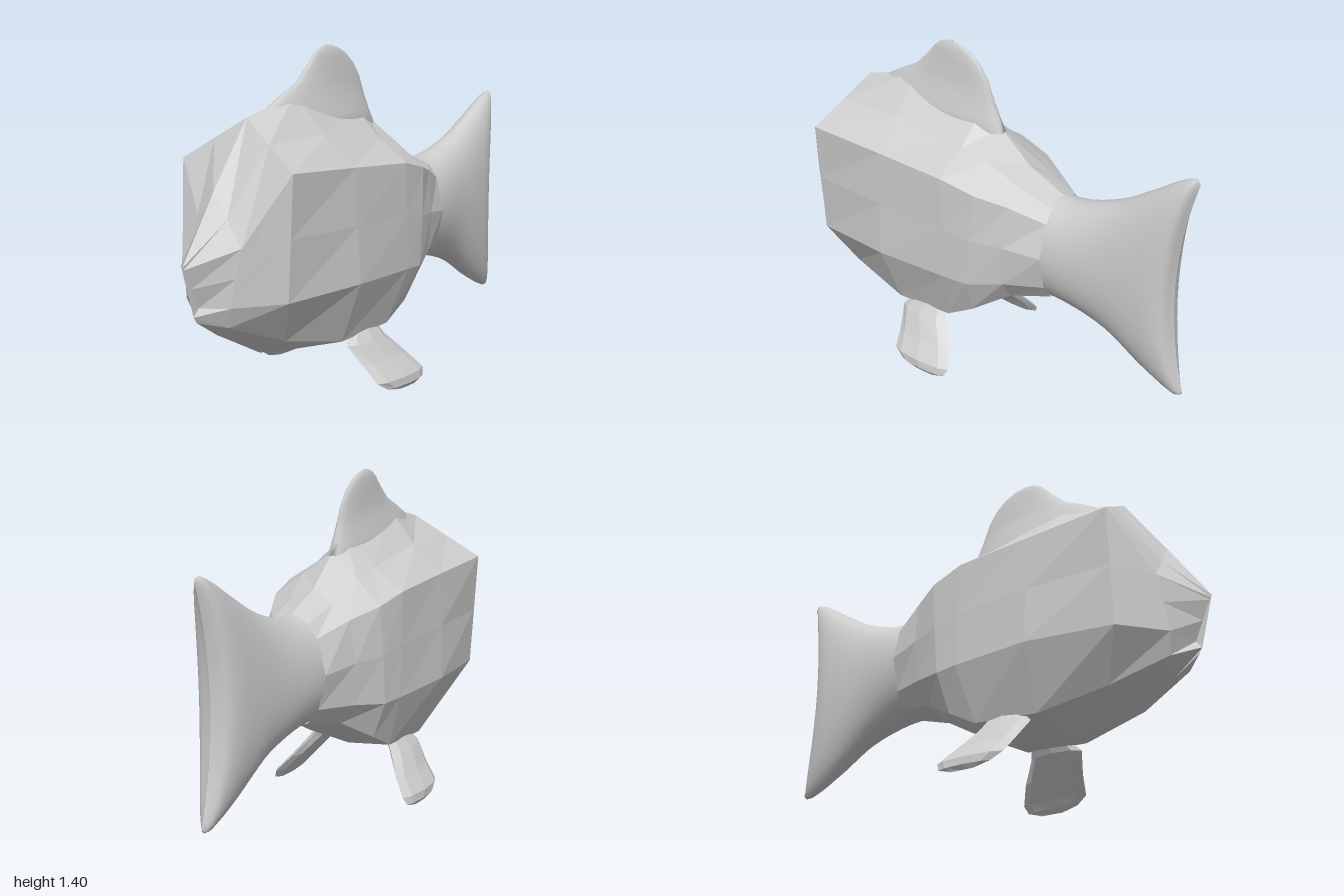
import * as THREE from 'three';

const material = new THREE.MeshStandardMaterial({ color: 0xcccccc, side: THREE.DoubleSide });

// Skins a list of closed rings of [x, y, z] points; the first end is capped, the last pinches shut.
function loft(rings, flat) {
  const n = rings[0].length;
  const pos = rings.flat(2);
  const index = [];
  for (let i = 0; i < rings.length - 1; i++) {
    for (let j = 0; j < n; j++) {
      const a = i * n + j, b = i * n + (j + 1) % n;
      index.push(a, b, a + n, b, b + n, a + n);
    }
  }
  for (let j = 1; j < n - 1; j++) index.push(0, j + 1, j);
  // Turn all faces outward by the sign of the enclosed volume.
  const at = (k) => new THREE.Vector3().fromArray(pos, index[k] * 3);
  let volume = 0;
  for (let k = 0; k < index.length; k += 3) volume += at(k).dot(at(k + 1).cross(at(k + 2)));
  if (volume < 0) index.reverse();

  let geo = new THREE.BufferGeometry();
  geo.setAttribute('position', new THREE.Float32BufferAttribute(pos, 3));
  geo.setIndex(index);
  if (flat) geo = geo.toNonIndexed();
  geo.computeVertexNormals();
  return geo;
}

function add(group, name, geo) {
  const mesh = new THREE.Mesh(geo, material);
  mesh.name = name;
  group.add(mesh);
}

// Lens-shaped ring for a fin: level y, from x0 to x1, centred on z, half thickness w.
function finRing(y, x0, x1, z, w, n) {
  return Array.from({ length: n }, (_, j) => {
    const a = (j / n) * Math.PI * 2;
    return [(x0 + x1) / 2 + Math.cos(a) * (x1 - x0) / 2, y, z + Math.sin(a) * w];
  });
}

// Faceted body: each rail runs from snout to tail root.
function bodyGeometry() {
  const top = [[-1, 0.64], [-0.83, 0.89], [-0.65, 1.15], [-0.38, 1.22], [-0.02, 1.14], [0.08, 1.08], [0.23, 0.95], [0.4, 0.87]];
  const side = [[-0.99, 0.62, 0], [-0.845, 0.7, 0.16], [-0.71, 0.975, 0.295], [-0.35, 0.95, 0.287],
    [-0.02, 0.925, 0.28], [0.13, 0.885, 0.255], [0.26, 0.845, 0.19], [0.4, 0.79, 0.125]];
  const lower = [[-0.92, 0.46, 0], [-0.87, 0.47, 0.12], [-0.71, 0.48, 0.265], [-0.34, 0.485, 0.305],
    [0, 0.475, 0.28], [0.1, 0.47, 0.265], [0.24, 0.49, 0.2], [0.4, 0.5, 0.13]];
  const belly = [[-0.945, 0.43, 0], [-0.85, 0.385, 0.09], [-0.62, 0.29, 0.16], [-0.33, 0.225, 0.2],
    [-0.05, 0.24, 0.205], [0.08, 0.31, 0.2], [0.23, 0.4, 0.13], [0.4, 0.435, 0.08]];
  const keel = [[-0.93, 0.405], [-0.83, 0.335], [-0.6, 0.205], [-0.37, 0.165], [-0.05, 0.215], [0.1, 0.295], [0.23, 0.37], [0.4, 0.41]];

  const rings = top.map(([tx, ty], i) => {
    const [sx, sy, sz] = side[i], [lx, ly, lz] = lower[i];
    // Shoulder and flank lie halfway between rails; the back hollows below its fin, the root rounds out.
    const round = (i / 7) ** 8, hollow = i === 3 || i === 4 ? 0.02 : 0;
    const shoulder = [(tx + sx) / 2, (ty + sy) / 2 + 0.015 * round - hollow, sz / 2 * (1 + 0.3 * round)];
    const flank = [(sx + lx) / 2, (sy + ly) / 2, (sz + lz) / 2 * (1 + 0.3 * round)];
    const half = [shoulder, side[i], flank, lower[i], belly[i]];
    const mirrored = half.map(([x, y, z]) => [x, y, -z]).reverse();
    return [[tx, ty, 0], ...half, [...keel[i], 0], ...mirrored];
  });
  return loft(rings, true);
}

// Smooth tail that spreads into a forked fin with a hollow rear edge.
function tailGeometry() {
  const curve = (points) => new THREE.CatmullRomCurve3(points.map((p) => new THREE.Vector3(...p)));
  // Tip x, top y, bottom y
  const edges = curve([[0.33, 0.875, 0.415], [0.46, 0.872, 0.404], [0.65, 0.93, 0.34], [0.82, 1.03, 0.23],
    [0.93, 1.1, 0.17], [0.98, 1.118, 0.154], [1.0, 1.1, 0.17]]);
  // Middle x, half width, sharpness of the section
  const middles = curve([[0.33, 0.163, 1], [0.45, 0.15, 1], [0.62, 0.122, 1], [0.76, 0.106, 1],
    [0.86, 0.09, 0.95], [0.91, 0.062, 0.9], [0.93, 0.001, 0.9]]);
  const rings = [], steps = 30, n = 36;
  for (let i = 0; i <= steps; i++) {
    const e = edges.getPoint(i / steps), m = middles.getPoint(i / steps);
    rings.push(Array.from({ length: n }, (_, j) => {
      const a = (j / n) * Math.PI * 2, v = Math.cos(a), s = Math.sin(a);
      return [
        m.x + (e.x - m.x) * v * v,
        (e.y + e.z) / 2 + v * (e.y - e.z) / 2,
        Math.sign(s) * Math.abs(s) ** m.z * Math.max(m.y, 0),
      ];
    }));
  }
  return loft(rings, false);
}

export function createModel() {
  const fish = new THREE.Group();
  fish.name = 'fish';
  add(fish, 'body', bodyGeometry());
  add(fish, 'tail', tailGeometry());

  // Rounded fin on the back: level, front to rear extent, half thickness
  const dorsal = [
    [1.04, -0.6, 0.11, 0.085], [1.12, -0.58, 0.07, 0.065], [1.18, -0.53, 0.045, 0.047], [1.22, -0.46, 0.03, 0.036],
    [1.26, -0.375, 0.015, 0.029], [1.32, -0.31, -0.025, 0.023], [1.36, -0.275, -0.07, 0.018],
    [1.385, -0.245, -0.115, 0.013], [1.4, -0.205, -0.165, 0.001],
  ];
  add(fish, 'dorsalFin', loft(dorsal.map(([y, x0, x1, w]) => finRing(y, x0, x1, 0, w, 24)), false));

  // Pair of splayed fins under the belly
  const pelvic = [
    [0.26, -0.25, -0.09, 0.165, 0.03], [0.2, -0.305, -0.065, 0.205, 0.038], [0.12, -0.275, 0, 0.265, 0.03],
    [0.05, -0.255, 0.045, 0.325, 0.028], [0.018, -0.205, 0.03, 0.338, 0.018], [0, -0.13, -0.03, 0.342, 0.001],
  ];
  for (const sign of [1, -1]) {
    const rings = pelvic.map(([y, x0, x1, z, w]) => finRing(y, x0, x1, z * sign, w, 8));
    add(fish, sign > 0 ? 'frontPelvicFin' : 'backPelvicFin', loft(rings, true));
  }
  return fish;
}
